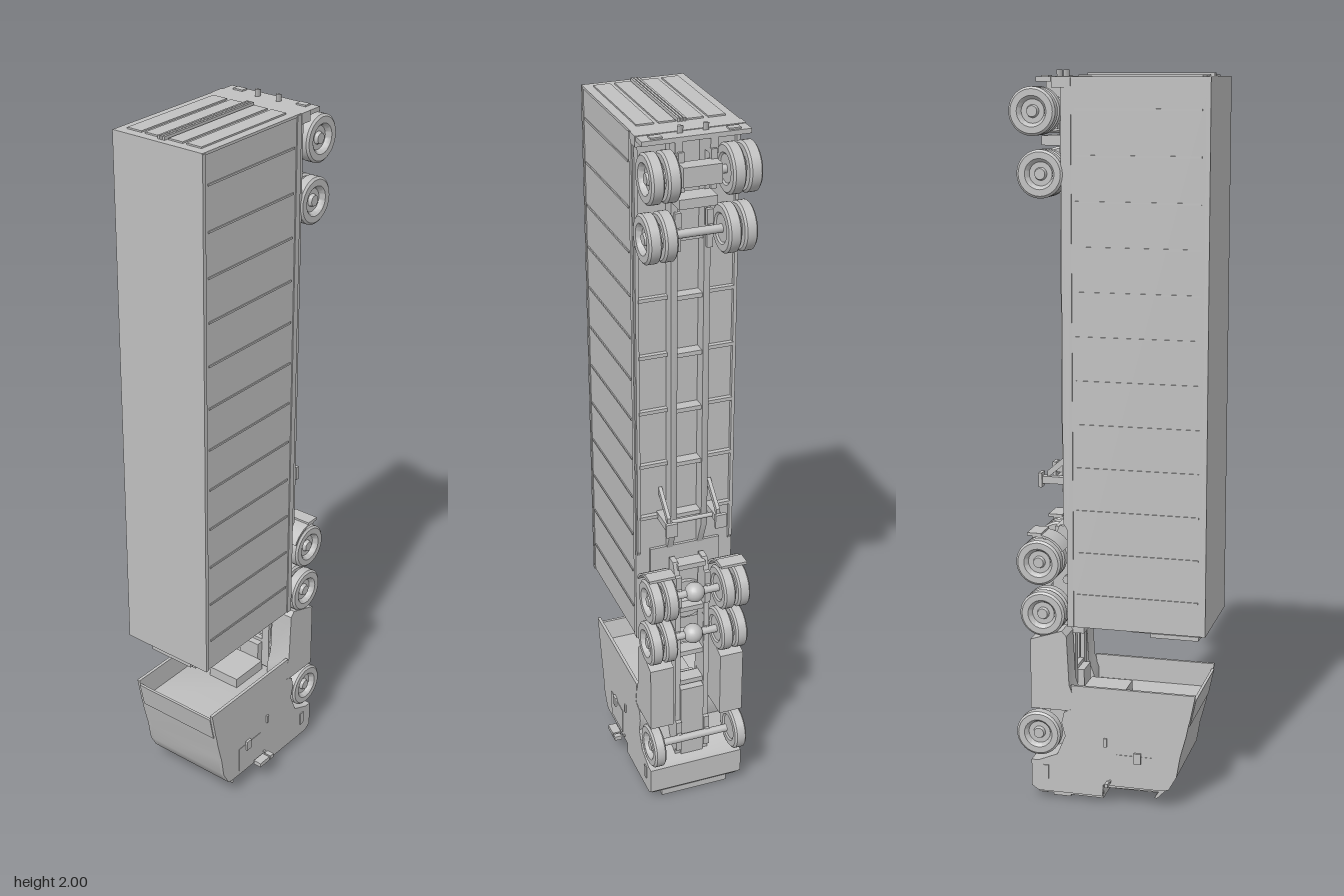
import * as THREE from 'three';
import { toCreasedNormals } from 'three/addons/utils/BufferGeometryUtils.js';

// An articulated lorry standing on its nose: its length runs along y, its roof faces +z.
export function createModel() {
  const root = new THREE.Group();
  root.name = 'lorry';
  const grey = new THREE.MeshStandardMaterial({ color: 0xc0c0c0 });
  grey.name = 'plain grey';

  const add = (name, geometry, parent = root) => {
    const mesh = new THREE.Mesh(geometry, grey);
    mesh.name = name;
    parent.add(mesh);
    return mesh;
  };
  // Box given by its limits on each axis
  const box = (name, x0, x1, y0, y1, z0, z1, parent) => {
    const m = add(name, new THREE.BoxGeometry(x1 - x0, y1 - y0, z1 - z0), parent);
    m.position.set((x0 + x1) / 2, (y0 + y1) / 2, (z0 + z1) / 2);
    return m;
  };
  const pair = (name, x0, x1, y0, y1, z0, z1) => {
    box(name, x0, x1, y0, y1, z0, z1);
    box(name, -x1, -x0, y0, y1, z0, z1);
  };
  // Side profile of [z, y] points, extruded from x0 to x1
  const slab = (name, points, x0, x1) => {
    const shape = new THREE.Shape(points.map(([z, y]) => new THREE.Vector2(z, y)));
    const g = new THREE.ExtrudeGeometry(shape, { depth: x1 - x0, bevelEnabled: false });
    g.rotateY(-Math.PI / 2).translate(x1, 0, 0);
    return add(name, toCreasedNormals(g, 0.5));
  };
  const slabPair = (name, points, x0, x1) => {
    slab(name, points, x0, x1);
    slab(name, points, -x1, -x0);
  };
  const rod = (name, r, length, x, y, z) => {
    const m = add(name, new THREE.CylinderGeometry(r, r, length, 16).rotateZ(Math.PI / 2));
    m.position.set(x, y, z);
  };

  // --- Trailer body ---
  box('trailerBody', -0.137, 0.137, 0.51, 1.98, -0.117, 0.266);
  for (const s of [-1, 1]) {
    const a = s * 0.137, b = s * 0.14;
    const edge = (name, y0, y1, z0, z1) =>
      box(name, Math.min(a, b), Math.max(a, b), y0, y1, z0, z1);
    edge('bottomEdgeTrim', 0.51, 1.98, -0.117, -0.1);
    edge('topEdgeTrim', 0.51, 1.98, 0.255, 0.266);
    for (let i = 0; i < 12; i++) edge('sideRib', 0.6 + i * 0.118, 0.605 + i * 0.118, -0.09, 0.245);
  }

  // Rear doors: frame, four raised panels and the locking bars
  box('doorFrame', -0.139, 0.139, 1.976, 1.983, -0.117, 0.266);
  for (const [x0, x1] of [[0.015, 0.058], [0.07, 0.115]]) pair('doorPanel', x0, x1, 1.98, 1.987, -0.085, 0.24);
  for (const x of [-0.008, 0, 0.008]) box('doorBar', x - 0.003, x + 0.003, 1.98, 1.992, -0.09, 0.25);

  // Cooling unit on the front wall
  box('coolingUnit', -0.07, 0.07, 0.485, 0.512, 0.045, 0.25);
  box('coolingUnitCover', -0.075, 0.075, 0.475, 0.487, 0.1, 0.235);

  // --- Trailer underframe ---
  const railProfile = [[-0.115, 0.77], [-0.155, 0.87], [-0.155, 1.975], [-0.115, 1.975]];
  slabPair('trailerRail', railProfile, 0.035, 0.052);
  slabPair('trailerSideRail', [[-0.115, 0.78], [-0.128, 0.8], [-0.128, 1.97], [-0.115, 1.97]], 0.128, 0.137);
  for (let y = 0.9; y < 1.7; y += 0.16) {
    box('crossMember', -0.05, 0.05, y, y + 0.012, -0.148, -0.115);
    pair('outrigger', 0.05, 0.13, y, y + 0.01, -0.13, -0.115);
  }
  box('kingpinPlate', -0.1, 0.1, 0.55, 0.8, -0.125, -0.115);

  // Landing legs
  pair('landingLeg', 0.06, 0.08, 0.895, 0.915, -0.205, -0.115);
  pair('landingFoot', 0.054, 0.086, 0.885, 0.925, -0.213, -0.203);
  slabPair('landingBrace', [[-0.12, 0.99], [-0.12, 0.97], [-0.19, 0.91], [-0.19, 0.93]], 0.065, 0.075);
  rod('landingCrossShaft', 0.006, 0.15, 0, 0.905, -0.17);

  // Rear bumper bar and its lamps
  box('rearSill', -0.142, 0.142, 1.955, 1.983, -0.15, -0.115);
  box('rearBumper', -0.14, 0.14, 1.97, 1.982, -0.192, -0.152);
  pair('bumperBracket', 0.035, 0.055, 1.93, 1.975, -0.19, -0.15);
  pair('rearLamp', 0.085, 0.115, 1.98, 1.986, -0.185, -0.165);
  for (const x of [-0.033, 0.033]) {
    const m = add('reflector', new THREE.CylinderGeometry(0.009, 0.009, 0.02, 3));
    m.position.set(x, 1.99, -0.16);
  }

  // --- Tractor chassis ---
  slabPair('tractorRail', [[-0.185, 0.06], [-0.185, 0.72], [-0.165, 0.77], [-0.135, 0.77], [-0.13, 0.06]], 0.035, 0.05);
  for (const y of [0.3, 0.36, 0.46, 0.61, 0.75]) box('tractorCrossMember', -0.04, 0.04, y, y + 0.015, -0.18, -0.14);
  box('engineBlock', -0.034, 0.034, 0.08, 0.35, -0.19, -0.1);
  rod('fifthWheelPivot', 0.012, 0.13, 0, 0.62, -0.14);
  const plate = add('fifthWheelPlate', new THREE.CylinderGeometry(0.06, 0.06, 0.012, 24).rotateX(Math.PI / 2));
  plate.position.set(0, 0.62, -0.13);
  slabPair('sideFairing', [[-0.225, 0.265], [-0.225, 0.465], [-0.135, 0.495], [-0.122, 0.48], [-0.115, 0.34],
    [-0.1, 0.3], [-0.1, 0.265]], 0.07, 0.138);
  box('deckPlate', -0.07, 0.07, 0.34, 0.36, -0.135, -0.12);
  pair('airPipe', 0.035, 0.06, 0.27, 0.48, -0.13, -0.118);
  box('pipeStand', -0.07, 0.07, 0.47, 0.49, -0.13, -0.09);

  // --- Cab ---
  const cabProfile = [[-0.225, 0.035], [-0.205, 0.014], [-0.02, 0.012], [-0.018, 0.045], [0.15, 0.048], [0.168, 0.06],
    [0.19, 0.1], [0.2, 0.16], [0.216, 0.22], [0.226, 0.27], [-0.11, 0.27], [-0.13, 0.26], [-0.137, 0.229],
    [-0.127, 0.19], [-0.15, 0.135], [-0.205, 0.112], [-0.225, 0.112]];
  slab('cab', cabProfile, -0.128, 0.128);
  // Cab flanks stop short of the nose so the front corners are stepped
  const flank = cabProfile.map(([z, y]) => [z, Math.max(y, z < -0.018 ? 0.022 : 0.056)]);
  slabPair('cabFlank', flank, 0.128, 0.139);
  // Roof deflector shell, open at the back
  slab('roofDeflector', [[0.214, 0.25], [0.233, 0.325], [0.241, 0.325], [0.225, 0.25]], -0.13, 0.13);
  slabPair('sideDeflector', [[0.225, 0.26], [0.241, 0.34], [-0.11, 0.34], [-0.1, 0.28], [-0.11, 0.26]], 0.13, 0.139);
  box('cabRearBox', -0.05, 0.05, 0.27, 0.3, -0.1, 0.02);

  // Nose: windscreen, visor, grille bars, lamps and step
  box('windscreen', -0.115, 0.115, 0.039, 0.049, 0.01, 0.135);
  slab('sunVisor', [[0.14, 0.05], [0.125, 0.028], [0.132, 0.026], [0.165, 0.06]], -0.125, 0.125);
  pair('wiper', 0.01, 0.09, 0.035, 0.04, 0.015, 0.02);
  for (let i = 0; i < 4; i++) box('grilleBar', -0.085, 0.085, 0.004, 0.014, -0.055 - i * 0.035, -0.04 - i * 0.035);
  pair('headlamp', 0.092, 0.125, 0.006, 0.016, -0.165, -0.115);
  box('bumperLip', -0.1, 0.1, 0, 0.03, -0.21, -0.19);

  // Doors, handles, and roof seam details on the flanks
  pair('sideWindow', 0.139, 0.1405, 0.07, 0.15, 0.02, 0.12);
  pair('doorHandle', 0.139, 0.144, 0.17, 0.195, -0.015, -0.007);
  pair('sideLamp', 0.139, 0.146, 0.13, 0.16, 0.07, 0.09);
  pair('doorStep', 0.138, 0.142, 0.06, 0.1, -0.19, -0.175);

  // Mirrors
  box('leftMirror', 0.147, 0.172, 0.062, 0.075, 0.018, 0.06);
  box('leftLowerMirror', 0.151, 0.172, 0.062, 0.075, -0.002, 0.013);
  box('rightMirror', -0.174, -0.152, 0.064, 0.075, -0.005, 0.004);
  pair('mirrorArm', 0.135, 0.155, 0.068, 0.073, 0.0, 0.005);

  // --- Wheels ---
  const R = 0.063, W = 0.034;
  const tyre = [[0, -W / 2 + 0.004], [0.035, -W / 2 + 0.004], [0.04, -W / 2], [R - 0.006, -W / 2], [R, -W / 2 + 0.005],
    [R, W / 2 - 0.005], [R - 0.006, W / 2], [0.04, W / 2], [0.036, W / 2 - 0.003], [0.031, 0.003],
    [0.017, 0.003], [0.014, 0.013], [0, 0.013]].map(([r, h]) => new THREE.Vector2(r, h));
  const wheelGeometry = toCreasedNormals(new THREE.LatheGeometry(tyre, 36).rotateZ(-Math.PI / 2), 0.6);
  const axle = (name, y, z, xs) => {
    for (const x of xs) for (const s of [-1, 1]) {
      const m = add(name + 'Wheel', wheelGeometry);
      m.position.set(s * x, y, z);
      if (s < 0) m.rotation.y = Math.PI;
    }
    rod(name + 'Axle', 0.011, 0.2, 0, y, z);
    pair(name + 'Spring', 0.034, 0.05, y - 0.05, y + 0.05, z + 0.008, z + 0.02);
    pair(name + 'Hanger', 0.036, 0.048, y - 0.012, y + 0.012, z, -0.13);
  };
  const dual = [0.082, 0.124];
  axle('trailerRear', 1.895, -0.205, dual);
  axle('trailerFront', 1.735, -0.185, dual);
  axle('driveRear', 0.685, -0.2, dual);
  axle('driveFront', 0.54, -0.19, dual);
  axle('steer', 0.19, -0.205, [0.122]);
  box('suspensionBeam', -0.05, 0.05, 1.805, 1.83, -0.205, -0.15);
  box('axleHousing', -0.05, 0.05, 1.87, 1.92, -0.232, -0.19);
  for (const [y, z] of [[0.685, -0.2], [0.54, -0.19]]) {
    const m = add('differential', new THREE.SphereGeometry(0.028, 20, 14));
    m.position.set(0, y, z);
  }

  // Curved mudguard behind the drive wheels, with a flap
  const guard = [];
  for (let i = 0; i <= 8; i++) guard.push([0.5 + i * 0.16, 0.08]);
  for (let i = 8; i >= 0; i--) guard.push([0.5 + i * 0.16, 0.074]);
  slabPair('mudguard', guard.map(([a, r]) => [-0.2 + r * Math.cos(a), 0.685 + r * Math.sin(a)]), 0.066, 0.141);
  pair('mudFlap', 0.066, 0.141, 0.762, 0.77, -0.23, -0.19);

  return root;
}
